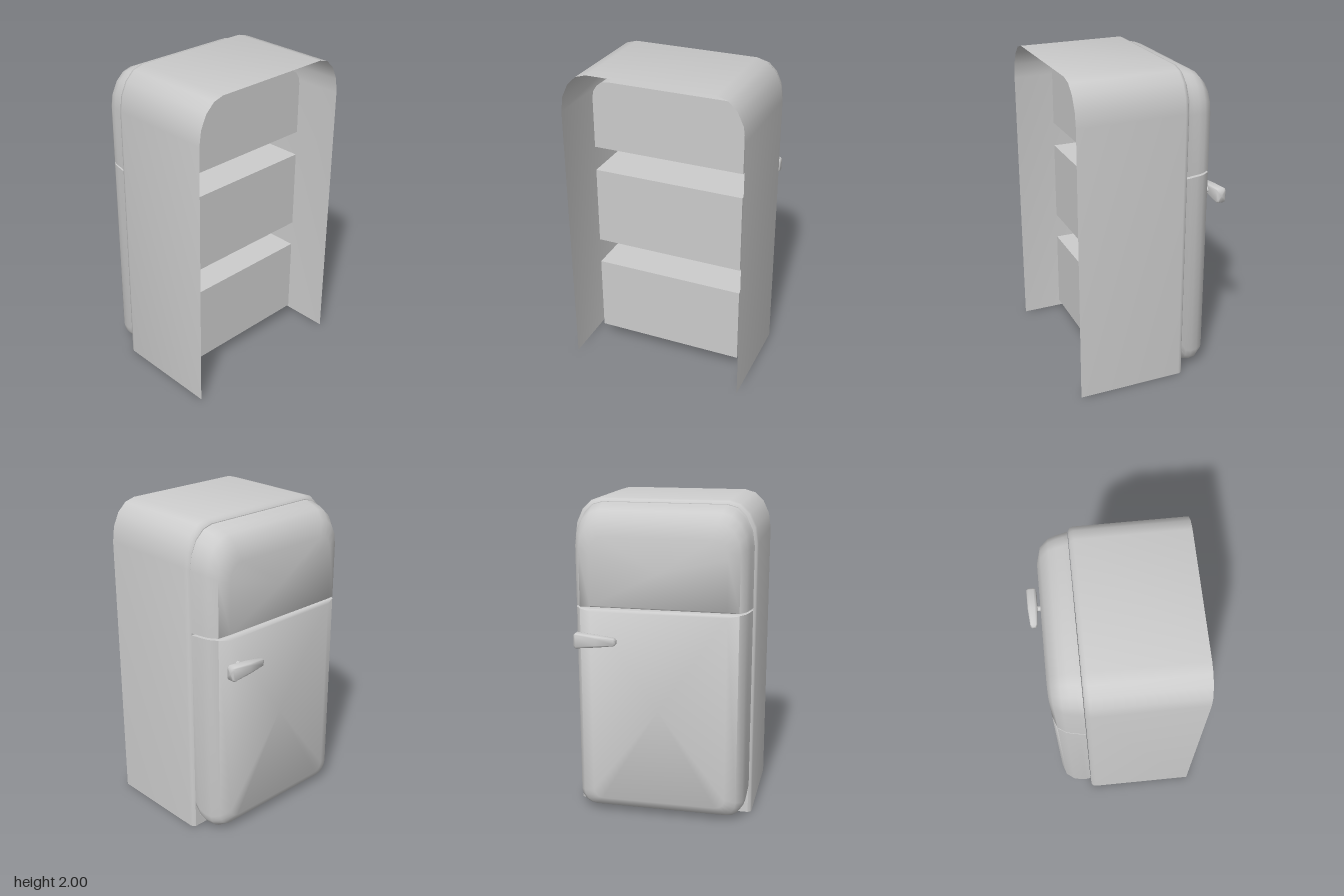
import * as THREE from 'three';
import { toCreasedNormals } from 'three/addons/utils/BufferGeometryUtils.js';

const N = 4; // segments per rounded corner

// Closed outline in x/y: elliptical top corners (rx, ry) and bottom corners (bx, by)
function outline(hw, y0, y1, rx = 0, ry = 0, bx = 0, by = 0) {
  const pts = [];
  const corner = (cx, cy, a, b, start) => {
    for (let i = 0; i <= N; i++) {
      const t = start + (i / N) * Math.PI / 2;
      pts.push(new THREE.Vector2(cx + a * Math.cos(t), cy + b * Math.sin(t)));
    }
  };
  corner(hw - bx, y0 + by, bx, by, -Math.PI / 2);
  corner(hw - rx, y1 - ry, rx, ry, 0);
  corner(-hw + rx, y1 - ry, rx, ry, Math.PI / 2);
  corner(-hw + bx, y0 + by, bx, by, Math.PI);
  return pts;
}

// Skin between outlines stacked along z; each layer is { z, pts }
function loft(layers, { closed = true, capStart = false, capEnd = false, crease = 1.2 } = {}) {
  const n = layers[0].pts.length;
  const pos = [], idx = [];
  for (const { z, pts } of layers) for (const p of pts) pos.push(p.x, p.y, z);
  for (let i = 0; i < layers.length - 1; i++) {
    for (let j = 0; j < (closed ? n : n - 1); j++) {
      const a = i * n + j, b = i * n + (j + 1) % n;
      idx.push(a, a + n, b, b, a + n, b + n);
    }
  }
  const cap = (i, flip) => {
    const { z, pts } = layers[i];
    const ys = pts.map((p) => p.y);
    const c = pos.length / 3;
    pos.push(0, (Math.min(...ys) + Math.max(...ys)) / 2, z);
    for (let j = 0; j < n; j++) {
      const a = i * n + j, b = i * n + (j + 1) % n;
      idx.push(c, flip ? b : a, flip ? a : b);
    }
  };
  if (capStart) cap(0, false);
  if (capEnd) cap(layers.length - 1, true);
  const g = new THREE.BufferGeometry();
  g.setAttribute('position', new THREE.Float32BufferAttribute(pos, 3));
  g.setIndex(idx);
  return toCreasedNormals(g, crease);
}

export function createModel() {
  const group = new THREE.Group();
  const solid = new THREE.MeshStandardMaterial({ color: 0xcccccc });
  const thin = new THREE.MeshStandardMaterial({ color: 0xcccccc, side: THREE.DoubleSide });
  const add = (name, geometry, material = solid) => {
    const m = new THREE.Mesh(geometry, material);
    m.name = name;
    group.add(m);
    return m;
  };

  // Cabinet shell: open arch with a softened edge next to the doors
  const arch = (d) => outline(0.572 - d, 0, 2 - d, 0.175 - d * 0.5, 0.25 - d * 0.5);
  const shellLayers = [[0.5, 0], [-0.17, 0], [-0.19, 0.007], [-0.2, 0.022]];
  add('cabinetShell', loft(shellLayers.map(([z, d]) => ({ z, pts: arch(d) })), { closed: false }), thin);

  // Compartment outlines, flared by f where they meet the frame
  const compartments = [
    ['lowerLiner', 0.09, 0.6, 0],
    ['middleLiner', 0.77, 1.28, 0],
    ['upperLiner', 1.44, 1.88, 0.11],
  ];
  const opening = ([, y0, y1, r], f) => outline(0.488 + f, y0 - f, y1 + f, r, r);

  // Frame around the three compartments
  const frame = new THREE.Shape(arch(0.022));
  for (const c of compartments) frame.holes.push(new THREE.Path(opening(c, 0.022)));
  add('frame', new THREE.ShapeGeometry(frame), thin).position.z = -0.2;

  // Liners: boxes recessed into the cabinet
  for (const c of compartments) {
    const layers = [
      { z: 0.27, pts: opening(c, 0) },
      { z: -0.175, pts: opening(c, 0) },
      { z: -0.2, pts: opening(c, 0.022) },
    ];
    add(c[0], loft(layers, { capStart: true, crease: 0.6 }), thin);
  }

  // Doors. Rows: z, side inset, top inset, bottom height, inset at the split
  const doorRows = [
    [-0.203, 0, 0, 0.085, 0],
    [-0.235, 0.007, 0.007, 0.037, 0],
    [-0.275, 0.014, 0.016, 0.022, 0],
    [-0.32, 0.026, 0.035, 0.022, 0],
    [-0.37, 0.06, 0.09, 0.05, 0],
    [-0.395, 0.13, 0.185, 0.1, 0.012],
  ];
  const doorCaps = { capStart: true, capEnd: true };
  add('upperDoor', loft(doorRows.map(([z, s, t, , e]) => ({
    z, pts: outline(0.553 - s, 1.355 + e, 1.975 - t, 0.17 - s * 0.6, 0.24 - t * 0.7),
  })), doorCaps));
  add('lowerDoor', loft(doorRows.map(([z, s, , b, e]) => ({
    z, pts: outline(0.553 - s, b, 1.342 - e, 0, 0, 0.11 - s * 0.4, 0.11 - s * 0.4),
  })), doorCaps));

  // Handle: tapered grip lofted along its length, on a short post
  const handle = new THREE.Group();
  handle.name = 'handle';
  handle.position.set(0, 1.168, -0.472);
  group.add(handle);
  const gripRows = [ // x, half height, half depth
    [0.238, 0.014, 0.012], [0.25, 0.023, 0.022], [0.36, 0.036, 0.031],
    [0.485, 0.048, 0.032], [0.497, 0.04, 0.024],
  ];
  const grip = loft(gripRows.map(([x, h, d]) => ({
    z: -x, pts: outline(d, -h, h, d * 0.5, d * 0.5, d * 0.5, d * 0.5),
  })), doorCaps);
  grip.rotateY(-Math.PI / 2);
  const gripMesh = new THREE.Mesh(grip, solid);
  gripMesh.name = 'grip';
  const post = new THREE.Mesh(new THREE.CylinderGeometry(0.017, 0.017, 0.06, 12), solid);
  post.name = 'post';
  post.rotation.x = Math.PI / 2;
  post.position.set(0.367, 0, 0.055);
  handle.add(gripMesh, post);

  return group;
}
